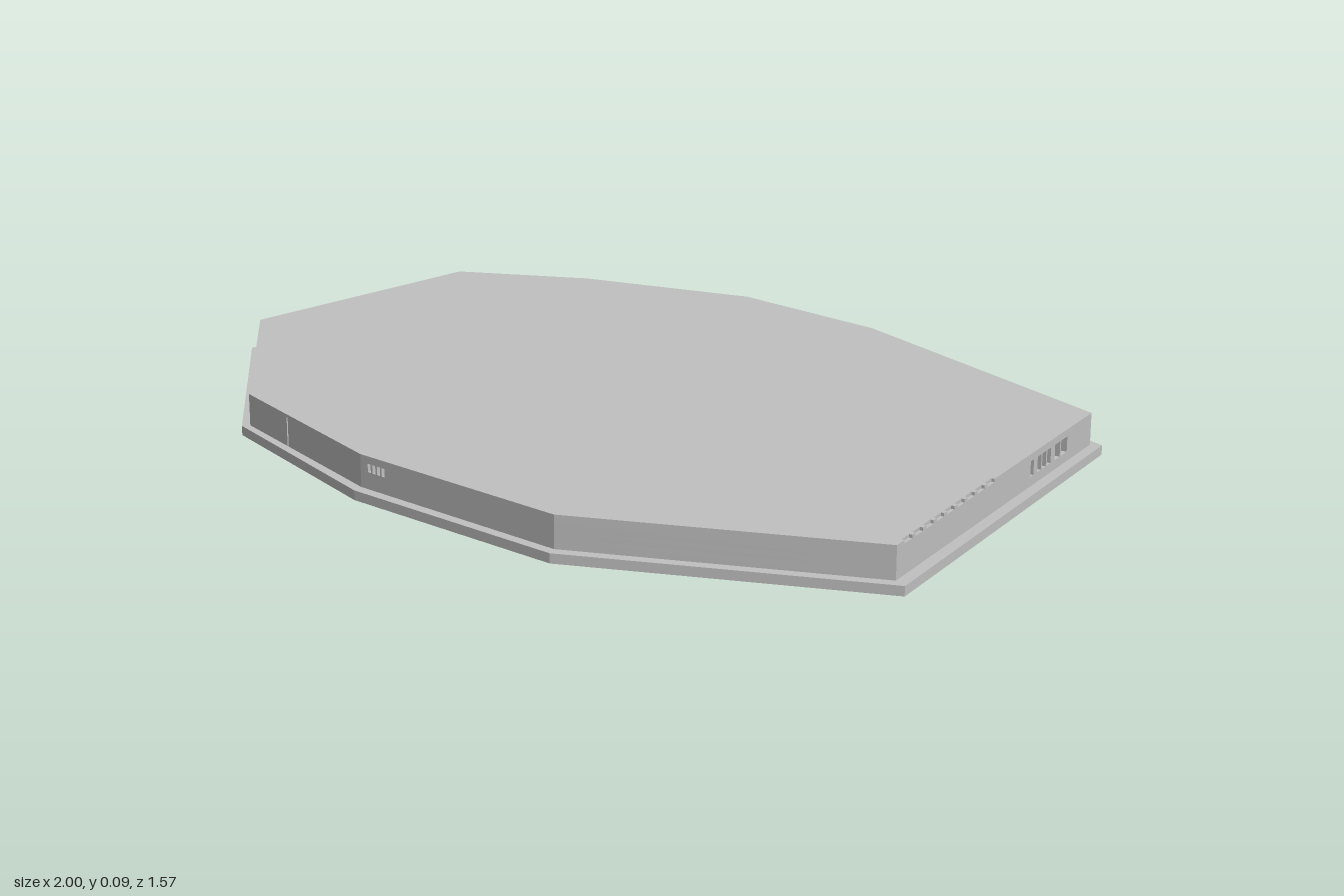
import * as THREE from 'three';

// Footprint corners as [x, z]
const BASE = [[-0.72, -0.73], [-0.41, -0.79], [0.03, -0.775], [0.385, -0.635], [1, -0.205],
  [0.82, 0.70], [0.14, 0.78], [-0.36, 0.60], [-0.76, 0.325], [-1, -0.18]];
const BODY = [[-0.705, -0.715], [-0.39, -0.768], [0.025, -0.758], [0.375, -0.618], [0.975, -0.20],
  [0.797, 0.68], [0.14, 0.757], [-0.355, 0.577], [-0.745, 0.315], [-0.975, -0.18]];

// Directions of the underside grid: across the bands and along them
const ACROSS = [0.98, 0.195], ALONG = [0.195, -0.98];
const at = (p, a) => [p * ACROSS[0] + a * ALONG[0], p * ACROSS[1] + a * ALONG[1]];

const vec = ([x, z]) => new THREE.Vector2(x, -z);

// Flat slab from an [x, z] outline between two heights
function slab(outline, y0, y1, holes = []) {
  const shape = new THREE.Shape(outline.map(vec));
  for (const h of holes) shape.holes.push(new THREE.Path(h.map(vec)));
  const g = new THREE.ExtrudeGeometry(shape, { depth: y1 - y0, bevelEnabled: false });
  g.rotateX(-Math.PI / 2);
  g.translate(0, y0, 0);
  return g;
}

// Cut notches into an outline: { edge, from, to, depth }, positions along the edge 0..1
function notched(outline, notches) {
  const out = [];
  outline.forEach((p, i) => {
    const q = outline[(i + 1) % outline.length];
    const dx = q[0] - p[0], dz = q[1] - p[1], len = Math.hypot(dx, dz);
    const point = (t, d) => [p[0] + dx * t - dz / len * d, p[1] + dz * t + dx / len * d];
    out.push(p);
    notches.filter(n => n.edge === i).sort((a, b) => a.from - b.from).forEach(n => {
      out.push(point(n.from, 0), point(n.from, n.depth), point(n.to, n.depth), point(n.to, 0));
    });
  });
  return out;
}

// True when a point lies inside the base with a margin to its rim
function inside([x, z], margin) {
  return BASE.every((p, i) => {
    const q = BASE[(i + 1) % BASE.length];
    const dx = q[0] - p[0], dz = q[1] - p[1];
    return (dx * (z - p[1]) - dz * (x - p[0])) / Math.hypot(dx, dz) > margin;
  });
}

const rect = (p0, p1, a0, a1) => [at(p0, a0), at(p1, a0), at(p1, a1), at(p0, a1)];

export function createModel() {
  const model = new THREE.Group();
  const grey = new THREE.MeshStandardMaterial({ color: 0xc0c0c0 });
  grey.name = 'light grey';
  const add = (name, geometry) => {
    const mesh = new THREE.Mesh(geometry, grey);
    mesh.name = name;
    model.add(mesh);
  };

  // Underside pattern: four bands of recessed cells parted by double grooves
  const holes = [], islands = [];
  const dividers = [0.42, -0.05, -0.52];
  for (const start of [0.42, -0.05, -0.52, -0.99]) {
    for (let c = 0; c < 4; c++) {
      for (let r = -10; r < 10; r++) {
        const p = start + 0.045 + c * 0.097, a = r * 0.1 + 0.01;
        const cell = rect(p, p + 0.08, a, a + 0.08);
        if (!cell.every(k => inside(k, 0.025))) continue;
        holes.push(cell);
        islands.push(rect(p + 0.02, p + 0.06, a + 0.018, a + 0.062));
      }
    }
  }
  for (const d of dividers) {
    for (const side of [-0.015, 0.015]) {
      const p = d + side;
      const run = [];
      for (let a = -1; a <= 1; a += 0.01) if (inside(at(p, a), 0.03)) run.push(a);
      holes.push(rect(p - 0.007, p + 0.007, run[0], run[run.length - 1]));
    }
  }
  add('basePattern', slab(BASE, 0, 0.008, holes));
  islands.forEach((outline) => add('cellBlock', slab(outline, 0.002, 0.008)));
  add('basePlate', slab(BASE, 0.008, 0.021));

  // Openings in the side walls
  const seams = [
    { edge: 7, from: 0.64, to: 0.65, depth: 0.006 },
    { edge: 2, from: 0.5, to: 0.51, depth: 0.006 },
  ];
  const windows = [];
  // Openings on the right wall, given by z
  for (const [z0, z1] of [[-0.08, -0.05], [-0.045, -0.02], [0, 0.018], [0.023, 0.041], [0.046, 0.064], [0.082, 0.097]]) {
    windows.push({ edge: 4, from: (z0 + 0.2) / 0.88, to: (z1 + 0.2) / 0.88, depth: 0.03 });
  }
  // Openings on the rear left wall
  for (const [from, to] of [[0.13, 0.15], [0.18, 0.28], [0.31, 0.40]]) {
    windows.push({ edge: 9, from: 1 - to, to: 1 - from, depth: 0.03 });
  }
  // Small vents on the front wall
  const vents = [0.87, 0.895, 0.92, 0.945].map(from => ({ edge: 6, from, to: from + 0.016, depth: 0.02 }));
  // Fine louvres along the top of the right wall
  const louvres = [];
  for (let i = 0; i < 9; i++) {
    louvres.push({ edge: 4, from: 0.53 + i * 0.05, to: 0.565 + i * 0.05, depth: 0.007 });
  }

  add('lowerWall', slab(notched(BODY, seams), 0.021, 0.042));
  add('windowWall', slab(notched(BODY, [...seams, ...windows]), 0.042, 0.058));
  add('ventWall', slab(notched(BODY, [...seams, ...windows, ...vents]), 0.058, 0.076));
  add('upperWall', slab(notched(BODY, seams), 0.076, 0.085));
  add('roof', slab(notched(BODY, louvres), 0.085, 0.092));

  return model;
}
